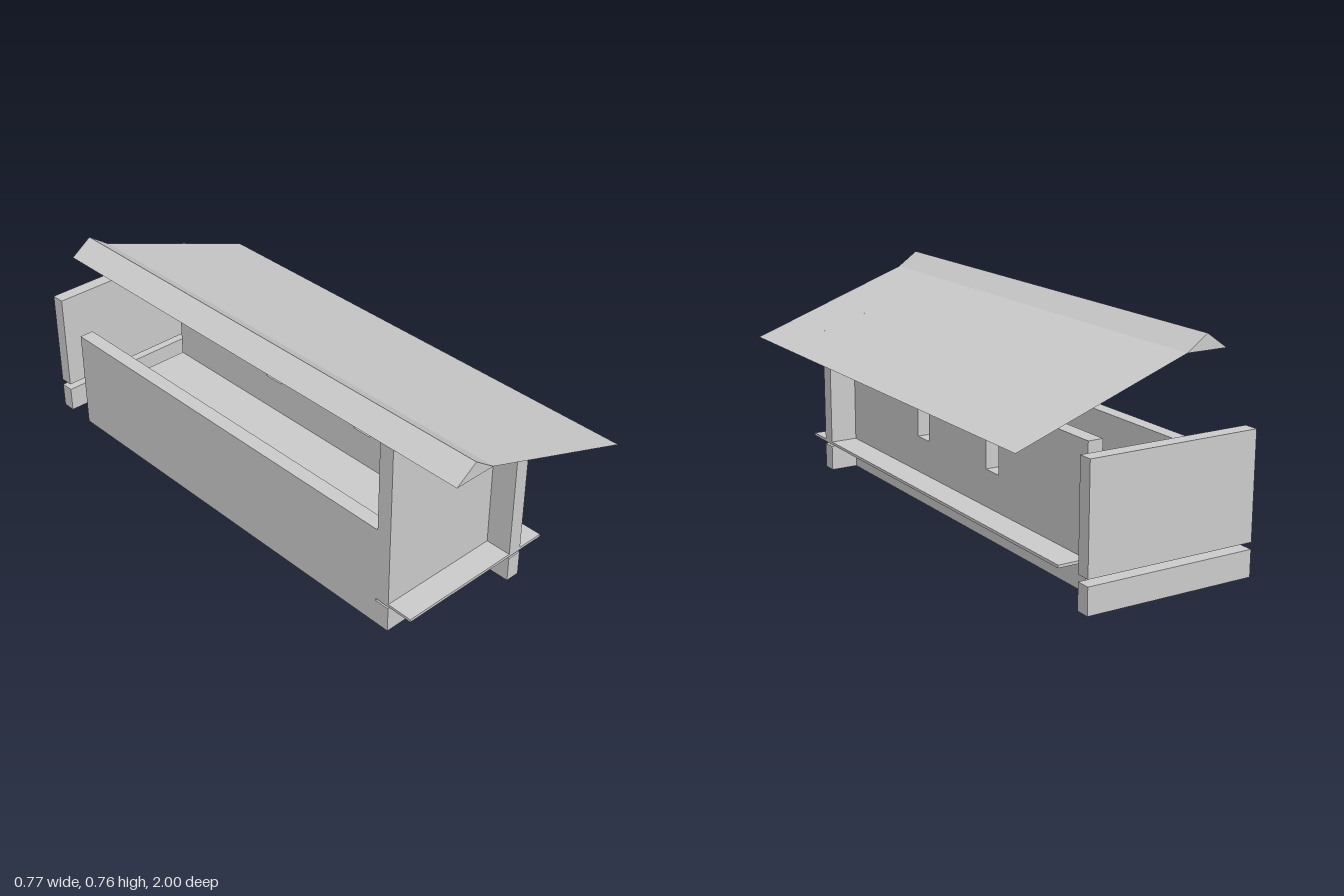
import * as THREE from 'three';

const material = new THREE.MeshStandardMaterial({ color: 0xcccccc, flatShading: true });
const thinMaterial = new THREE.MeshStandardMaterial({ color: 0xcccccc, flatShading: true, side: THREE.DoubleSide });

export function createModel() {
  const group = new THREE.Group();

  const add = (name, geometry, mat = material) => {
    const mesh = new THREE.Mesh(geometry, mat);
    mesh.name = name;
    group.add(mesh);
    return mesh;
  };
  // Box given by its lower and upper corners
  const box = (name, [x0, y0, z0], [x1, y1, z1]) => add(name,
    new THREE.BoxGeometry(x1 - x0, y1 - y0, z1 - z0)
      .translate((x0 + x1) / 2, (y0 + y1) / 2, (z0 + z1) / 2));
  const outline = (points) => new THREE.Shape(points.map(([a, b]) => new THREE.Vector2(a, b)));
  const extrude = (shape, depth) =>
    new THREE.ExtrudeGeometry(shape, { depth, bevelEnabled: false });

  const L = -0.385, R = 0.231, back = -0.846, step = 0.154, thick = 0.053;
  const baseTop = 0.092, floorTop = 0.11, eave = 0.48;

  // Front wall: low base and an upper part stepped under the roof slope
  box('frontBase', [L, 0, 0.695], [R, baseTop, 0.75]);
  const stepped = [[L, floorTop]];
  for (let i = 0; i < 4; i++) {
    const y = 0.703 - i * 0.0557;
    stepped.push([L + i * step, y], [L + (i + 1) * step, y]);
  }
  stepped.push([R, floorTop]);
  add('frontWall', extrude(outline(stepped.reverse()), 0.055).translate(0, 0, 0.695));

  // Long wall by the porch, running past the front wall, with two windows
  const innerX = 0.077, outerX = innerX + thick;
  box('porchBase', [innerX, 0, back], [outerX, baseTop, 0.846]);
  const wall = outline([[back, floorTop], [0.846, floorTop], [0.846, eave], [back, eave]]);
  for (const z of [0.118, -0.344]) {
    wall.holes.push(outline([[z, 0.24], [z, 0.39], [z + 0.079, 0.39], [z + 0.079, 0.24]]));
  }
  add('porchWall', extrude(wall, thick).rotateY(-Math.PI / 2).translate(outerX, 0, 0));

  // Lower long wall on the far side, unbroken down to the ground
  const wallIn = L + thick;
  box('lowWall', [L, 0, back], [wallIn, 0.375, 0.695]);

  // Detached back wall
  box('backBase', [L, 0, -1], [R, baseTop, -0.95]);
  box('backWall', [L, 0.115, -1], [R, eave, -0.95]);

  // Floor slab with a hatch opening against the low wall
  const slab = outline([
    [wallIn, back], [R, back], [R, 0.846], [L, 0.846], [L, 0.695], [wallIn, 0.695],
    [wallIn, 0.077], [L + step, 0.077], [L + step, -0.077], [wallIn, -0.077],
  ]);
  add('floor', extrude(slab, 0.01).rotateX(Math.PI / 2).translate(0, floorTop, 0));
  box('hatch', [wallIn, 0.096, -0.385], [L + step, 0.1, -0.231]);

  // Roof: triangular ridge and one long thin slope
  const roofLength = 1 - back;
  const ridge = outline([[L, 0.703], [L + step, 0.703], [L + step / 2, 0.757]]);
  add('roofRidge', extrude(ridge, roofLength).translate(0, 0, back));
  const run = 0.385 - (L + step), drop = 0.703 - eave;
  const slope = add('roofSlope',
    new THREE.PlaneGeometry(Math.hypot(run, drop), roofLength).rotateX(-Math.PI / 2), thinMaterial);
  slope.rotation.z = -Math.atan2(drop, run);
  slope.position.set(L + step + run / 2, eave + drop / 2, back + roofLength / 2);

  return group;
}
